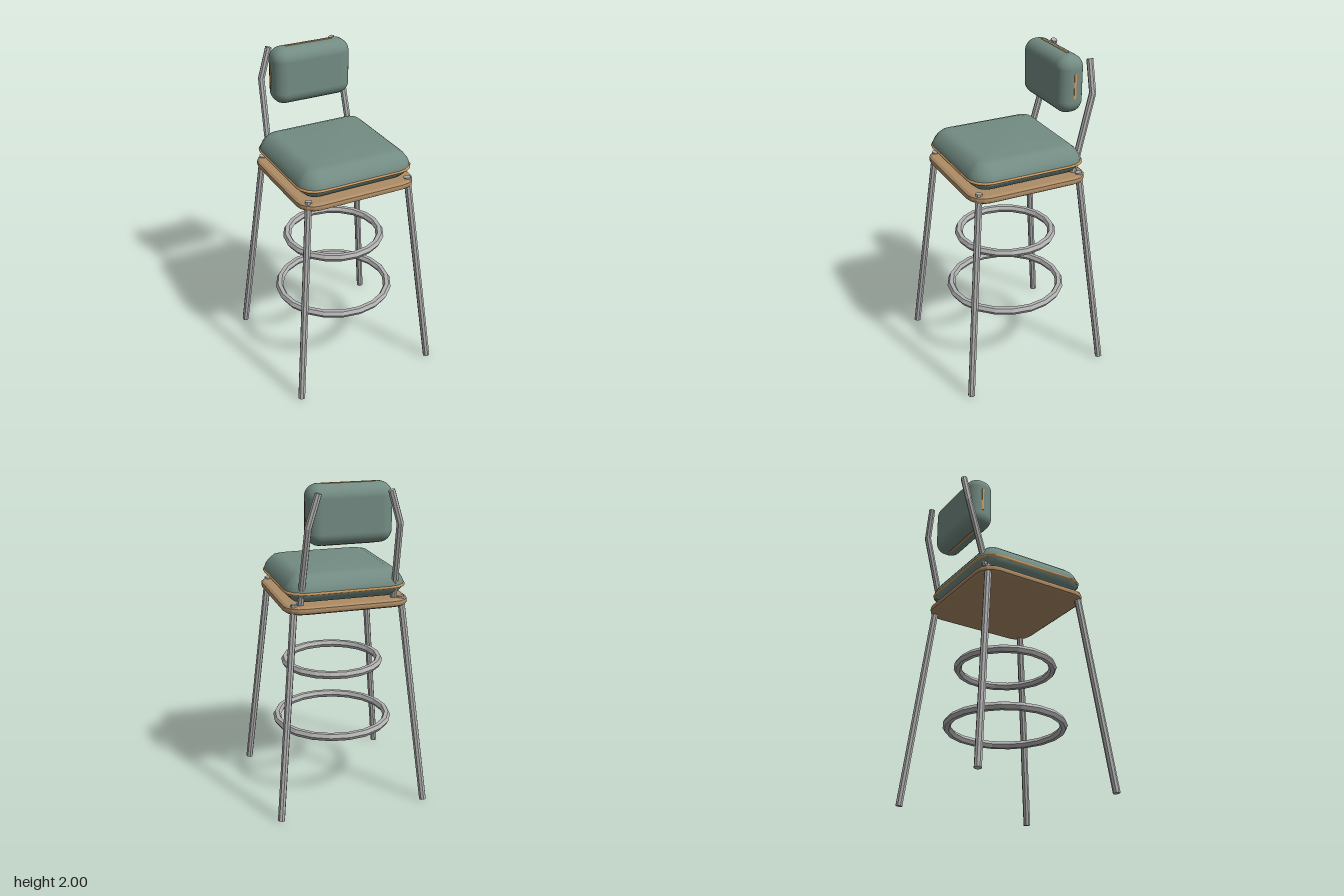
import * as THREE from 'three';
import { RoundedBoxGeometry } from 'three/addons/geometries/RoundedBoxGeometry.js';

const CORNER_STEPS = 4;

// Outline of a rounded square in the xz plane
function roundedSquare(half, radius) {
  const points = [];
  for (let q = 0; q < 4; q++) {
    const mid = (q + 0.5) * Math.PI / 2;
    const cx = Math.sign(Math.cos(mid)) * (half - radius);
    const cz = Math.sign(Math.sin(mid)) * (half - radius);
    for (let s = 0; s <= CORNER_STEPS; s++) {
      const a = (q + s / CORNER_STEPS) * Math.PI / 2;
      points.push([cx + radius * Math.cos(a), cz + radius * Math.sin(a)]);
    }
  }
  return points;
}

// Stack rounded squares along a [half width, y] profile
function loft(profile, corner, capped = true) {
  const widest = Math.max(...profile.map(p => p[0]));
  const positions = [], index = [];
  for (const [half, y] of profile) {
    const radius = Math.max(0.05, corner - (widest - half));
    for (const [x, z] of roundedSquare(half, radius)) positions.push(x, y, z);
  }
  const n = 4 * (CORNER_STEPS + 1);
  const last = profile.length - 1;
  for (let r = 0; r < last; r++) {
    for (let i = 0; i < n; i++) {
      const j = (i + 1) % n;
      const a = r * n + i, b = r * n + j, c = a + n, d = b + n;
      index.push(a, c, b, b, c, d);
    }
  }
  if (capped) {
    const bottom = positions.length / 3, top = bottom + 1;
    positions.push(0, profile[0][1], 0, 0, profile[last][1], 0);
    for (let i = 0; i < n; i++) {
      const j = (i + 1) % n;
      index.push(bottom, i, j, top, last * n + j, last * n + i);
    }
  }
  const geometry = new THREE.BufferGeometry();
  geometry.setAttribute('position', new THREE.Float32BufferAttribute(positions, 3));
  geometry.setIndex(index);
  geometry.computeVertexNormals();
  return geometry;
}

// Same geometry with hard facets
function faceted(geometry) {
  const flat = geometry.index ? geometry.toNonIndexed() : geometry;
  flat.computeVertexNormals();
  return flat;
}

// Straight bar between two points
function bar(from, to, radius) {
  const a = new THREE.Vector3(...from), b = new THREE.Vector3(...to);
  const dir = b.clone().sub(a);
  const geometry = new THREE.CylinderGeometry(radius, radius, dir.length(), 8);
  geometry.applyQuaternion(new THREE.Quaternion().setFromUnitVectors(
    new THREE.Vector3(0, 1, 0), dir.normalize()));
  const mid = a.add(b).multiplyScalar(0.5);
  return faceted(geometry.translate(mid.x, mid.y, mid.z));
}

export function createModel() {
  const model = new THREE.Group();
  model.name = 'barStool';

  const material = (name, color) => {
    const m = new THREE.MeshStandardMaterial({ color });
    m.name = name;
    return m;
  };
  const upholstery = material('greenUpholstery', 0x738c83);
  const wood = material('wood', 0xae8c66);
  const trim = material('tanTrim', 0xcf9a5e);
  const metal = material('metal', 0xb2b2b3);

  const add = (name, geometry, mat, parent = model) => {
    const mesh = new THREE.Mesh(geometry, mat);
    mesh.name = name;
    parent.add(mesh);
    return mesh;
  };

  // Four splayed legs, their tops showing just above the seat board
  const legs = new THREE.Group();
  legs.name = 'legs';
  model.add(legs);
  for (const sx of [1, -1]) {
    for (const sz of [1, -1]) {
      add(`${sz > 0 ? 'front' : 'back'}${sx > 0 ? 'Left' : 'Right'}Leg`,
        bar([sx * 0.459, 0.003, sz * 0.459], [sx * 0.327, 1.312, sz * 0.327], 0.022), metal, legs);
    }
  }

  // Foot rings
  for (const [name, radius, y] of [['upperFootRing', 0.296, 0.835], ['lowerFootRing', 0.354, 0.452]]) {
    const ring = new THREE.TorusGeometry(radius, 0.025, 6, 20).rotateX(Math.PI / 2);
    add(name, faceted(ring.translate(0, y, 0)), metal);
  }

  // Wooden seat board with eased edges
  add('seatBoard', faceted(loft([
    [0.365, 1.256], [0.38, 1.266], [0.382, 1.28], [0.38, 1.294], [0.365, 1.304],
  ], 0.11)), wood);

  // Seat cushion and its piping
  add('seatCushion', loft([
    [0.28, 1.308], [0.315, 1.318], [0.345, 1.345], [0.366, 1.37], [0.366, 1.39],
    [0.355, 1.418], [0.333, 1.447], [0.305, 1.471], [0.265, 1.484],
  ], 0.115), upholstery);
  const piping = [];
  for (let i = 0; i <= 6; i++) {
    const a = -Math.PI / 2 + i * Math.PI / 3;
    piping.push([0.364 + 0.009 * Math.cos(a), 1.377 + 0.009 * Math.sin(a)]);
  }
  add('seatPiping', loft(piping, 0.115, false), trim);

  // Back cushion
  const backrest = new THREE.Group();
  backrest.name = 'backrest';
  backrest.position.set(0, 1.825, -0.32);
  model.add(backrest);
  add('backCushion', new RoundedBoxGeometry(0.51, 0.35, 0.172, 5, 0.076), upholstery, backrest);

  // Trim strips on the four edges of the back cushion
  for (const s of [1, -1]) {
    add(s > 0 ? 'topTrim' : 'bottomTrim', new THREE.BoxGeometry(0.31, 0.008, 0.014), trim, backrest)
      .position.set(0, s * 0.174, -0.007);
    add(s > 0 ? 'leftTrim' : 'rightTrim', new THREE.BoxGeometry(0.008, 0.155, 0.014), trim, backrest)
      .position.set(s * 0.254, 0, -0.007);
  }

  // Bent posts behind the back cushion
  for (const s of [1, -1]) {
    const post = new THREE.Group();
    post.name = s > 0 ? 'leftBackPost' : 'rightBackPost';
    model.add(post);
    const foot = [s * 0.288, 1.295, -0.31];
    const bend = [s * 0.27, 1.775, -0.437];
    const tip = [s * 0.212, 1.965, -0.443];
    add('lowerPost', bar(foot, bend, 0.021), metal, post);
    add('upperPost', bar(bend, tip, 0.021), metal, post);
    add('postBend', new THREE.SphereGeometry(0.021, 8, 6).translate(...bend), metal, post);
  }

  return model;
}
